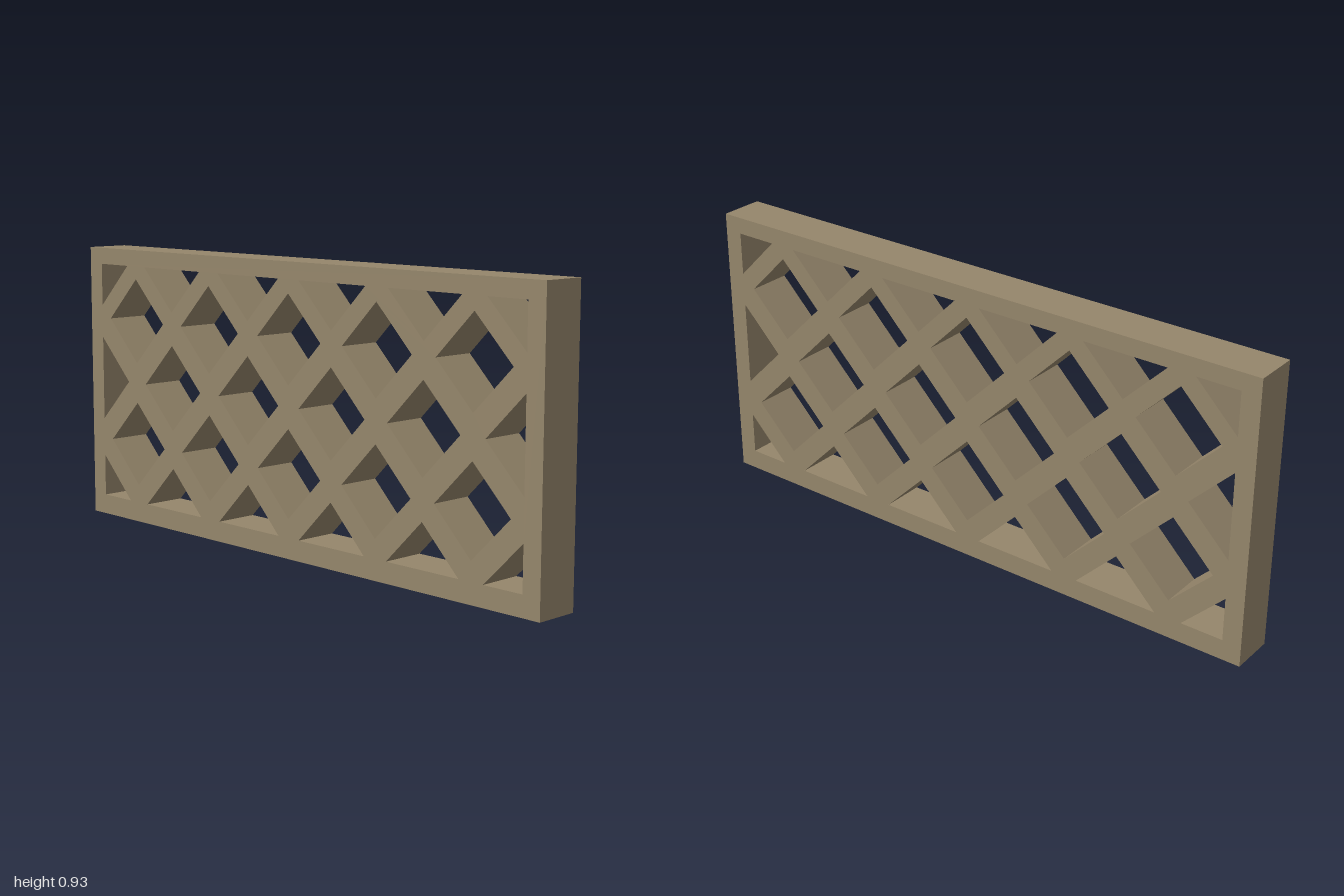
import * as THREE from 'three';

const HEIGHT = 0.93, DEPTH = 0.146;
const INNER_X = 0.938, INNER_BOTTOM = 0.067, INNER_TOP = 0.875;
const COLUMN_PITCH = INNER_X / 5;
const ROWS = [INNER_BOTTOM, 0.27, 0.48, 0.69, INNER_TOP];
const HOLE_RADIUS = 0.142;

// Diamond opening, cut to a triangle where it meets the border
function opening(cx, cy) {
  const corners = [[1, 0], [0, 1], [-1, 0], [0, -1]]
    .map(([dx, dy]) => new THREE.Vector2(cx + dx * HOLE_RADIUS, cy + dy * HOLE_RADIUS))
    .filter(p => Math.abs(p.x) < INNER_X + 0.001 && p.y > INNER_BOTTOM - 0.001 && p.y < INNER_TOP + 0.001);
  if (corners.length === 2) corners.push(new THREE.Vector2(cx, cy));
  return new THREE.Path(corners);
}

export function createModel() {
  const wood = new THREE.MeshStandardMaterial({ color: 0x95866b });
  wood.name = 'weathered wood';

  // Rectangular border
  const outline = new THREE.Shape([
    new THREE.Vector2(-1, 0), new THREE.Vector2(1, 0),
    new THREE.Vector2(1, HEIGHT), new THREE.Vector2(-1, HEIGHT),
  ]);

  // Staggered openings leave the crossing slats
  ROWS.forEach((y, row) => {
    for (let column = -5; column <= 5; column++) {
      if ((row + column) % 2 !== 0) outline.holes.push(opening(column * COLUMN_PITCH, y));
    }
  });

  const geometry = new THREE.ExtrudeGeometry(outline, { depth: DEPTH, bevelEnabled: false });
  geometry.translate(0, 0, -DEPTH / 2);
  const panel = new THREE.Mesh(geometry, wood);
  panel.name = 'latticePanel';

  const model = new THREE.Group();
  model.name = 'lattice';
  model.add(panel);
  return model;
}
